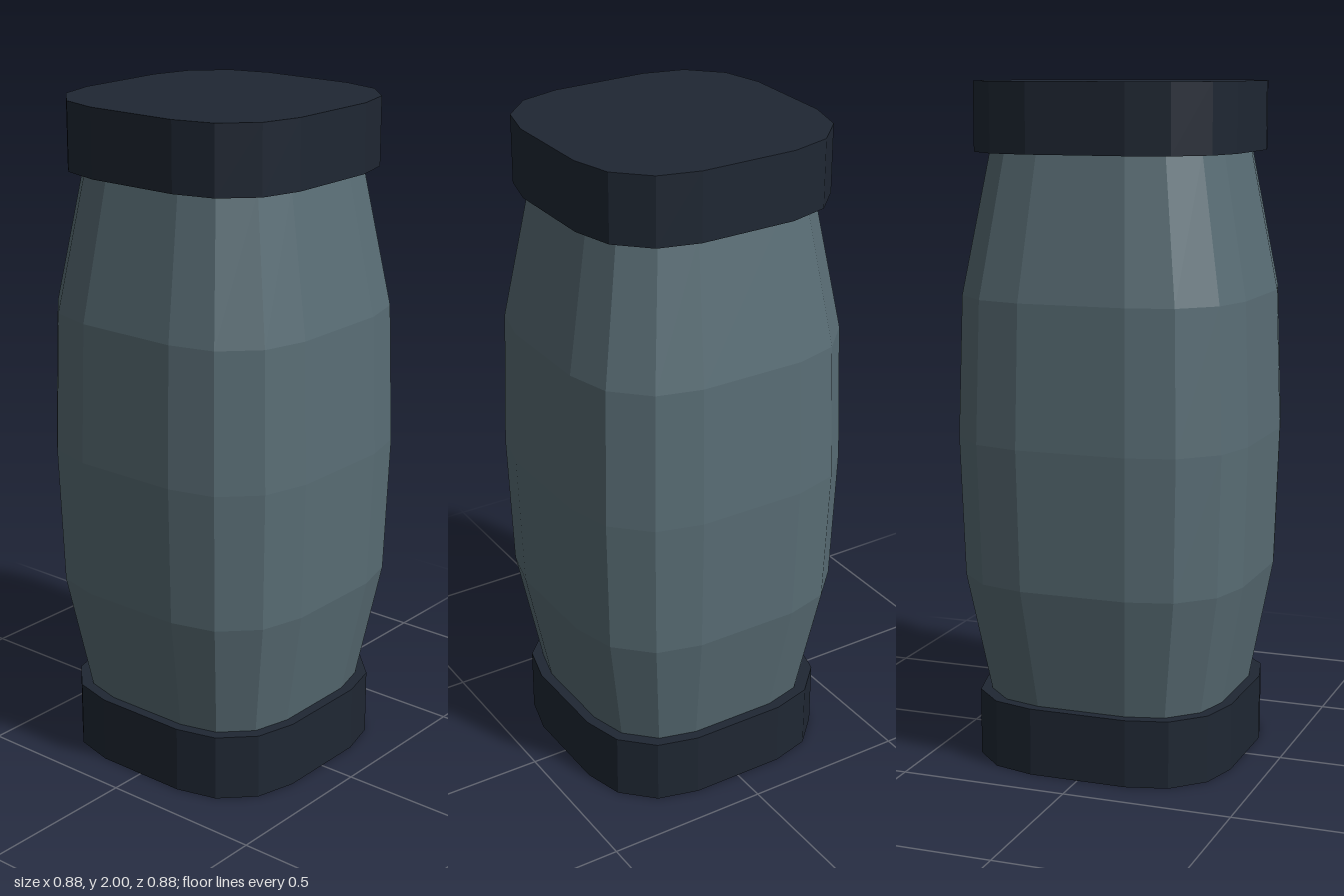
import * as THREE from 'three';

// One corner of the rounded-square outline, for a half width of 1
const corner = [[1, 0.375], [0.917, 0.688], [0.688, 0.917], [0.375, 1]];

// Full outline: the corner turned through four quarter turns
const outline = [];
for (let q = 0; q < 4; q++) {
  for (const [a, b] of corner) {
    let x = a, z = b;
    for (let k = 0; k < q; k++) [x, z] = [-z, x];
    outline.push([x, z]);
  }
}

// Closed loft through rings given as [height, half width]
function loft(rings) {
  const n = outline.length;
  const pos = [];
  const index = [];
  for (const [y, r] of rings) {
    for (const [x, z] of outline) pos.push(x * r, y, z * r);
  }
  for (let j = 0; j < rings.length - 1; j++) {
    for (let i = 0; i < n; i++) {
      const a = j * n + i, b = j * n + (i + 1) % n;
      index.push(a, a + n, b, b, a + n, b + n);
    }
  }
  // Flat ends
  const top = (rings.length - 1) * n;
  for (let i = 1; i < n - 1; i++) {
    index.push(0, i, i + 1);
    index.push(top, top + i + 1, top + i);
  }
  const g = new THREE.BufferGeometry();
  g.setAttribute('position', new THREE.Float32BufferAttribute(pos, 3));
  g.setIndex(index);
  const flat = g.toNonIndexed();
  flat.computeVertexNormals();
  return flat;
}

export function createModel() {
  const model = new THREE.Group();
  model.name = 'barrelCanister';

  const bodyMaterial = new THREE.MeshStandardMaterial({ color: 0x596d75, flatShading: true });
  const capMaterial = new THREE.MeshStandardMaterial({ color: 0x1f2733, flatShading: true });

  const add = (name, rings, material) => {
    const mesh = new THREE.Mesh(loft(rings), material);
    mesh.name = name;
    model.add(mesh);
  };

  // Bulging body, its ends seated inside the caps
  add('body', [[0.145, 0.349], [0.56, 0.425], [0.975, 0.438], [1.39, 0.425], [1.805, 0.349]], bodyMaterial);

  // End caps
  add('bottomCap', [[0, 0.39], [0.2, 0.39]], capMaterial);
  add('topCap', [[1.8, 0.39], [2, 0.39]], capMaterial);

  return model;
}
